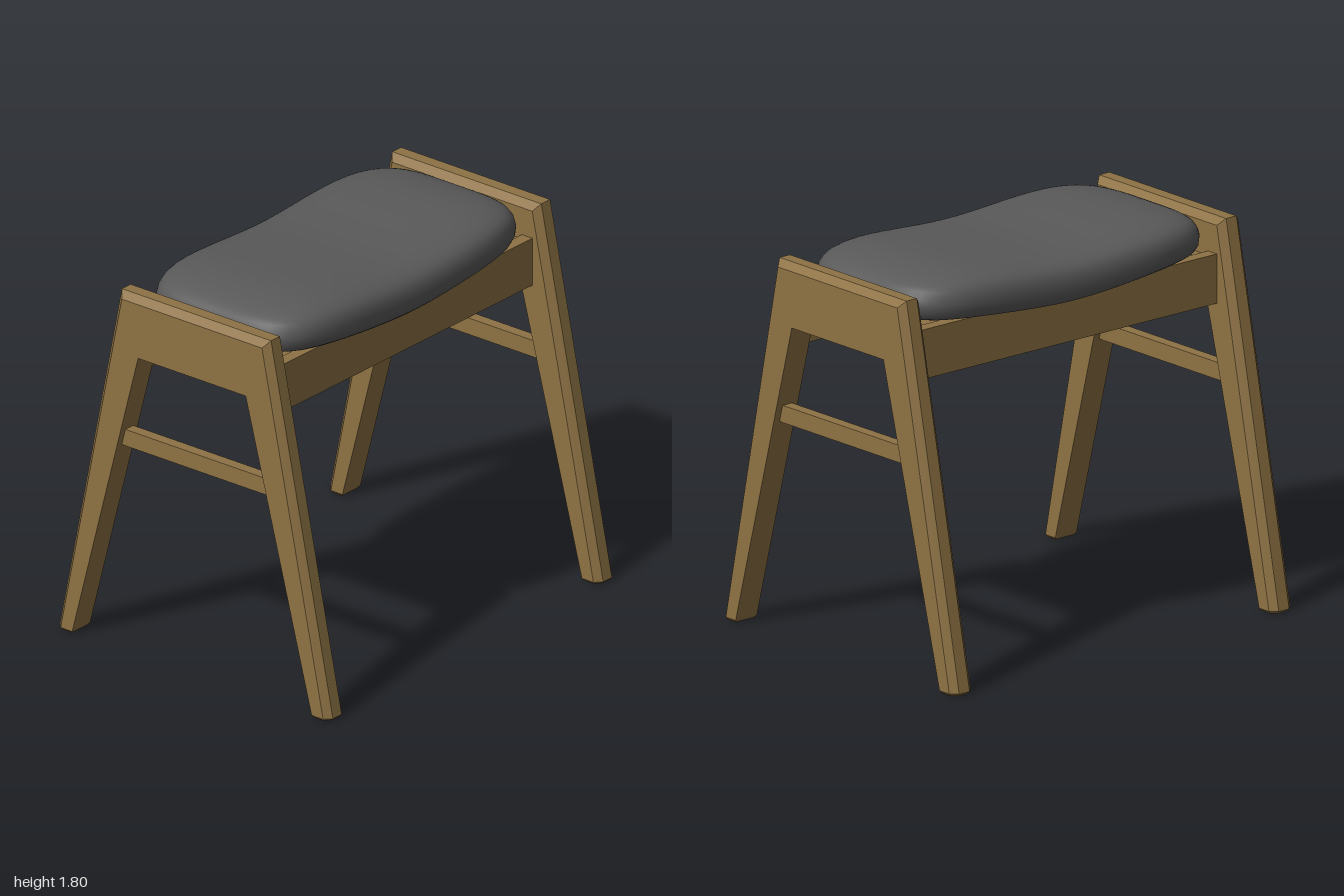
import * as THREE from 'three';
import { mergeVertices } from 'three/addons/utils/BufferGeometryUtils.js';

const wood = new THREE.MeshStandardMaterial({ color: 0x8e7244 });
wood.name = 'oak wood';
const fabric = new THREE.MeshStandardMaterial({ color: 0x595959 });
fabric.name = 'grey upholstery';

function addMesh(parent, name, geometry, material, x = 0, y = 0, z = 0) {
  const mesh = new THREE.Mesh(geometry, material);
  mesh.name = name;
  mesh.position.set(x, y, z);
  parent.add(mesh);
  return mesh;
}

// Tapered A-shaped frame: a six-sided section swept foot - corner - corner - foot,
// with the outer edges chamfered. Spans x = -w..w.
function sideFrameGeometry() {
  const w = 0.0625;
  // each station: inner, inset and outer points as [z, y], half width, chamfer
  const half = [
    { i: [0.70, 0], m: [0.752, 0], o: [0.776, 0], w: w - 0.01, c: 0.03 },
    { i: [0.69, 0.012], m: [0.757, 0.012], o: [0.787, 0.012], w, c: 0.032 },
    { i: [0.31, 1.46], m: [0.404, 1.722], o: [0.43, 1.754], w, c: 0.032 },
  ];
  const flip = ([z, y]) => [-z, y];
  const stations = [...half, ...half.slice().reverse().map(
    (s) => ({ ...s, i: flip(s.i), m: flip(s.m), o: flip(s.o) }))];
  const rings = stations.map(({ i, m, o, w: hw, c }) => [
    [-hw, i], [-hw, m], [-hw + c, o], [hw - c, o], [hw, m], [hw, i],
  ].map(([x, [z, y]]) => [x, y, z]));

  const pos = [];
  const tri = (a, b, c) => pos.push(...a, ...b, ...c);
  for (let s = 0; s < rings.length - 1; s++) {
    for (let k = 0; k < 6; k++) {
      const n = (k + 1) % 6;
      const [a, b, c, d] = [rings[s][k], rings[s][n], rings[s + 1][n], rings[s + 1][k]];
      tri(a, b, c);
      tri(a, c, d);
    }
  }
  // feet soles
  const first = rings[0], last = rings[rings.length - 1];
  for (let k = 1; k < 5; k++) {
    tri(first[0], first[k + 1], first[k]);
    tri(last[0], last[k], last[k + 1]);
  }
  const g = new THREE.BufferGeometry();
  g.setAttribute('position', new THREE.Float32BufferAttribute(pos, 3));
  g.computeVertexNormals();
  return g;
}

// Pillow: a revolved profile squared off in plan and bent into a saddle
function cushionGeometry() {
  const profile = new THREE.CatmullRomCurve3([
    [0, 0], [0.5, 0], [0.9, 0.002], [0.97, 0.015], [1, 0.055], [0.997, 0.1],
    [0.97, 0.14], [0.9, 0.172], [0.75, 0.198], [0.5, 0.212], [0, 0.215],
  ].map(([r, y]) => new THREE.Vector3(r, y, 0)), false, 'centripetal');
  const points = profile.getSpacedPoints(60).map((p) => new THREE.Vector2(Math.max(p.x, 0), p.y));
  points[0].x = points[60].x = 0;
  let g = new THREE.LatheGeometry(points, 96);
  const p = g.attributes.position, n = 4.4;
  for (let k = 0; k < p.count; k++) {
    const x = p.getX(k), z = p.getZ(k), r = Math.hypot(x, z);
    const grow = r > 1e-6
      ? Math.pow(Math.abs(x / r) ** n + Math.abs(z / r) ** n, -1 / n) : 1;
    const px = x * grow * 0.875;
    const saddle = 0.036 * THREE.MathUtils.smoothstep(Math.abs(px), 0, 0.7);
    p.setXYZ(k, px, 1.56 + p.getY(k) + saddle, z * grow * 0.48);
  }
  g.deleteAttribute('uv');
  g.deleteAttribute('normal');
  g = mergeVertices(g, 1e-5);
  g.computeVertexNormals();
  return g;
}

export function createModel() {
  const model = new THREE.Group();
  model.name = 'stool';

  const frame = sideFrameGeometry();
  for (const [side, s] of [['left', 1], ['right', -1]]) {
    const group = new THREE.Group();
    group.name = `${side}Side`;
    group.position.x = s * 0.9375;
    model.add(group);
    addMesh(group, 'legFrame', frame, wood);
    addMesh(group, 'stretcher', new THREE.BoxGeometry(0.055, 0.08, 0.88), wood, 0, 1.03, 0);
  }

  // long rails under the seat
  for (const [name, s] of [['frontRail', 1], ['backRail', -1]]) {
    addMesh(model, name, new THREE.BoxGeometry(1.76, 0.23, 0.06), wood, 0, 1.475, s * 0.375);
  }
  // board carrying the cushion
  addMesh(model, 'seatBoard', new THREE.BoxGeometry(1.76, 0.06, 0.7), wood, 0, 1.54, 0);
  addMesh(model, 'cushion', cushionGeometry(), fabric);
  return model;
}
